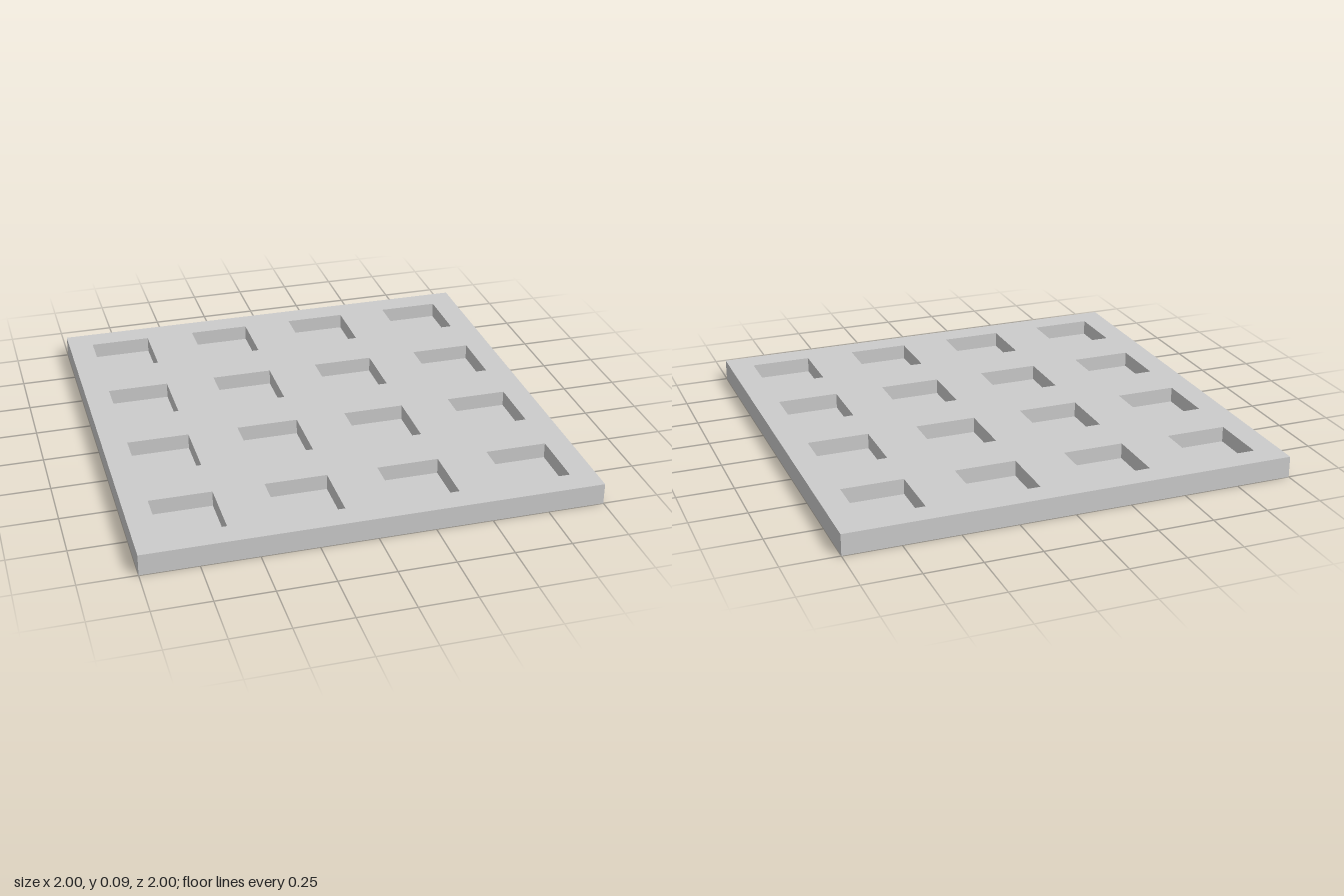
import * as THREE from 'three';
import { mergeGeometries } from 'three/addons/utils/BufferGeometryUtils.js';

const SIZE = 2, HEIGHT = 0.095, POCKET = 0.275, DEPTH = 0.07, COUNT = 4;
const PITCH = SIZE / COUNT;

// Box without its top face, top rim at HEIGHT; inward turns the faces to the inside
function openBox(width, height, x, z, inward) {
  const g = new THREE.BoxGeometry(width, height, width);
  let index = Array.from(g.index.array);
  index.splice(12, 6);
  if (inward) index.reverse();
  g.setIndex(index);
  g.clearGroups();
  g.computeVertexNormals();
  return g.translate(x, HEIGHT - height / 2, z);
}

function squarePoints(width, x, y) {
  const h = width / 2;
  return [[-h, -h], [h, -h], [h, h], [-h, h]].map(([a, b]) => new THREE.Vector2(x + a, y + b));
}

export function createModel() {
  const group = new THREE.Group();
  group.name = 'pocketedTray';
  const material = new THREE.MeshStandardMaterial({ color: 0xcccccc });

  const topShape = new THREE.Shape(squarePoints(SIZE, 0, 0));
  const pockets = [];
  for (let row = 0; row < COUNT; row++) {
    for (let col = 0; col < COUNT; col++) {
      const x = (col - (COUNT - 1) / 2) * PITCH;
      const z = (row - (COUNT - 1) / 2) * PITCH;
      topShape.holes.push(new THREE.Path(squarePoints(POCKET, x, -z).reverse()));
      pockets.push(openBox(POCKET, DEPTH, x, z, true));
    }
  }

  // Top surface with square openings
  const top = new THREE.ShapeGeometry(topShape).rotateX(-Math.PI / 2).translate(0, HEIGHT, 0);

  // Outer walls and underside joined with the top into one slab
  const slab = new THREE.Mesh(mergeGeometries([openBox(SIZE, HEIGHT, 0, 0, false), top]), material);
  slab.name = 'slab';

  // Blind square recesses
  const recesses = new THREE.Mesh(mergeGeometries(pockets), material);
  recesses.name = 'pockets';

  group.add(slab, recesses);
  return group;
}
